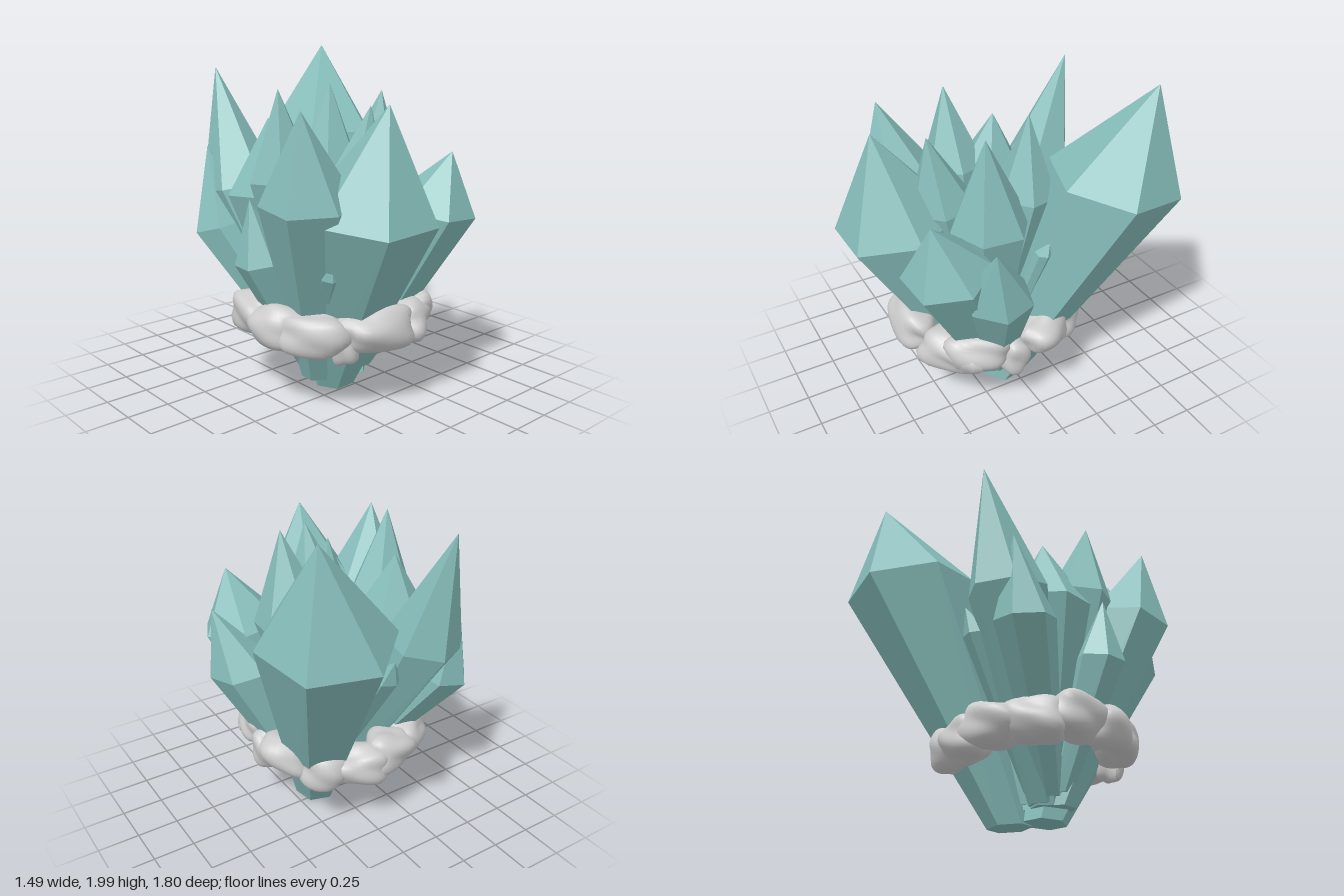
import * as THREE from 'three';

const crystalMat = new THREE.MeshStandardMaterial({ color: 0x86bdba, flatShading: true });
const rockMat = new THREE.MeshStandardMaterial({ color: 0xcccccc });

// Six-sided crystal: small base ring near the shared root, wide shoulder ring, pointed tip
function crystal(tip, shoulder, R, phase) {
  const n = 6, pos = [], idx = [];
  const [sx, sy, sz] = shoulder;
  // smaller crystals start higher and further out
  const base = [(0.45 - 0.35 * R) * sx - 0.02, 0.24 - 0.58 * R, 0.1 + 0.08 * sz];
  const slopeX = (sx - base[0]) / (sy - base[1]);
  const slopeZ = (sz - base[2]) / (sy - base[1]);
  for (const [[x, y, z], r, lean] of [[base, 0.3 * R + 0.015, 0.15], [shoulder, R, 0.4]]) {
    for (let i = 0; i < n; i++) {
      const a = THREE.MathUtils.degToRad(phase + i * 60);
      const dx = r * Math.cos(a), dz = r * Math.sin(a);
      pos.push(x + dx, Math.max(0, y - lean * (dx * slopeX + dz * slopeZ)), z + dz);
    }
  }
  pos.push(...base, ...tip);
  for (let i = 0; i < n; i++) {
    const j = (i + 1) % n;
    idx.push(i, n + i, j, j, n + i, n + j); // side
    idx.push(n + i, 2 * n + 1, n + j);      // point
    idx.push(2 * n, i, j);                  // underside
  }
  const g = new THREE.BufferGeometry();
  g.setAttribute('position', new THREE.Float32BufferAttribute(pos, 3));
  g.setIndex(idx);
  const flat = g.toNonIndexed();
  flat.computeVertexNormals();
  return new THREE.Mesh(flat, crystalMat);
}

// Smooth lumpy stone: a squarish ball pushed in and out by low waves
function stone(length, height, depth, seed) {
  const g = new THREE.SphereGeometry(1, 28, 20);
  const p = g.attributes.position, v = new THREE.Vector3();
  for (let i = 0; i < p.count; i++) {
    v.fromBufferAttribute(p, i);
    const lump = 1 + 0.1 * Math.sin(3.1 * v.x + seed) * Math.cos(2.7 * v.z - seed * 1.7)
      + 0.07 * Math.sin(4.3 * v.y + 2.9 * v.x + seed * 2.3)
      + 0.04 * Math.sin(5.9 * v.z - 3.7 * v.y + seed * 3.1);
    const square = Math.pow(v.x ** 4 + v.y ** 4 + v.z ** 4, -0.12);
    v.multiplyScalar(0.95 * lump * square);
    p.setXYZ(i, v.x * length, v.y * height, v.z * depth);
  }
  g.computeVertexNormals();
  return new THREE.Mesh(g, rockMat);
}

export function createModel() {
  const model = new THREE.Group();

  // Crystals: name, tip, shoulder centre, shoulder radius, turn in degrees
  const cluster = new THREE.Group();
  cluster.name = 'crystalCluster';
  for (const [name, ...shape] of [
    ['tallBackCrystal', [0.52, 2.0, -0.66], [0.38, 1.41, -0.52], 0.385, 18],
    ['frontCrystal', [-0.2, 1.73, 0.7], [-0.21, 1.14, 0.58], 0.37, 0],
    ['frontLeftCrystal', [0.38, 1.43, 0.63], [0.33, 1.09, 0.52], 0.26, -5],
    ['frontRightCrystal', [-0.62, 1.71, 0.5], [-0.51, 1.22, 0.42], 0.26, 33],
    ['leftCrystal', [0.61, 1.31, 0.37], [0.47, 0.92, 0.28], 0.2, 15],
    ['innerLeftCrystal', [0.22, 1.76, 0.22], [0.17, 1.2, 0.17], 0.24, 37],
    ['innerBackCrystal', [0.11, 1.79, -0.11], [0.1, 1.3, -0.1], 0.19, 15],
    ['innerFrontCrystal', [-0.07, 1.7, 0.43], [-0.09, 1.25, 0.34], 0.2, 20],
    ['backRightCrystal', [-0.35, 1.88, -0.64], [-0.33, 1.18, -0.42], 0.23, 35],
    ['innerRightCrystal', [-0.47, 1.79, 0.13], [-0.42, 1.3, 0.1], 0.2, 10],
    ['middleCrystal', [-0.34, 1.61, -0.13], [-0.35, 1.2, -0.1], 0.25, 25],
    ['rightCrystal', [-0.62, 1.2, 0.06], [-0.57, 0.85, 0.08], 0.14, 35],
    ['smallBackRightCrystal', [-0.49, 1.42, -0.54], [-0.47, 0.95, -0.43], 0.17, 10],
    ['thinBackCrystal', [-0.08, 1.14, -0.5], [-0.09, 1.0, -0.4], 0.09, 20],
    ['smallFrontCrystal', [-0.45, 0.93, 0.55], [-0.42, 0.82, 0.5], 0.06, 0],
    ['smallLeftCrystal', [0.4, 1.12, -0.09], [0.38, 1.05, -0.06], 0.05, 0],
  ]) {
    const mesh = crystal(...shape);
    mesh.name = name;
    cluster.add(mesh);
  }
  model.add(cluster);

  // Stones on an oval ring round the cluster: angle from +x towards the front, height, half length
  const ring = new THREE.Group();
  ring.name = 'stoneRing';
  [
    [99, 0.48, 0.25], [145, 0.47, 0.21], [122, 0.41, 0.08], [50, 0.44, 0.23], [32, 0.48, 0.2],
    [5, 0.4, 0.1], [-22, 0.48, 0.18], [-50, 0.43, 0.17], [-76, 0.42, 0.18],
    [-103, 0.46, 0.18], [-132, 0.46, 0.19], [-160, 0.5, 0.18], [172, 0.48, 0.18],
  ].forEach(([deg, y, length], i) => {
    const a = THREE.MathUtils.degToRad(deg);
    const mesh = stone(length, 0.13, Math.min(0.14, length), 1 + i * 1.37);
    mesh.position.set(-0.06 + 0.46 * Math.cos(a), y, 0.1 + 0.46 * Math.sin(a));
    mesh.rotation.y = Math.PI / 2 - a;
    mesh.name = 'stone' + (i + 1);
    ring.add(mesh);
  });
  model.add(ring);
  return model;
}
